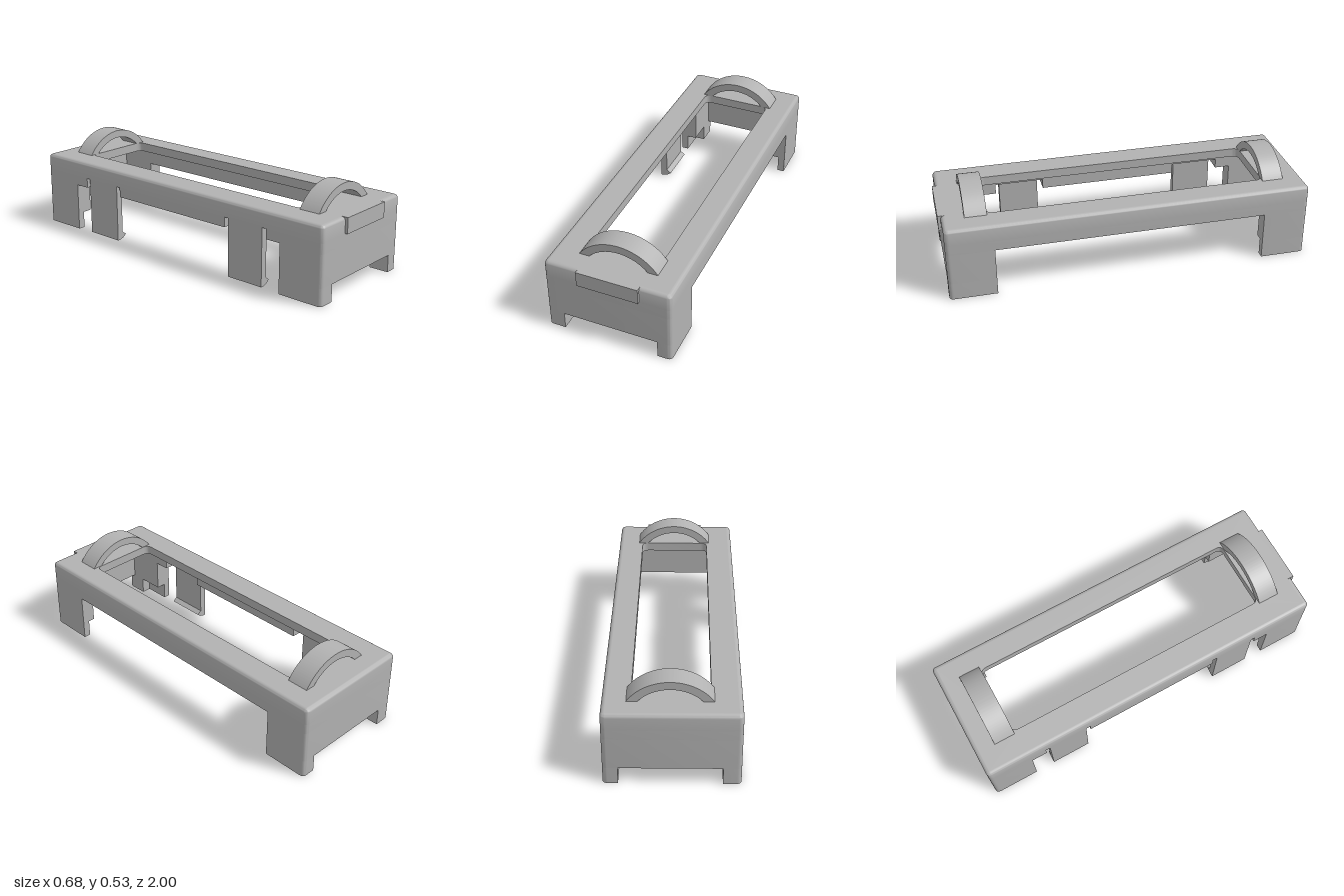
import * as THREE from 'three';
import { toCreasedNormals } from 'three/addons/utils/BufferGeometryUtils.js';

const X0 = -0.342, X1 = 0.341, Z0 = -1, Z1 = 0.985;      // outer footprint
const IX0 = -0.25, IX1 = 0.264, IZ0 = -0.966, IZ1 = 0.952; // inner cavity
const R = 0.025, TOP = 0.415, MID = 0.365, SLOT = 0.325, SILL = 0.27, FOOT = 0.095;

// Closed path from [x, z, cornerRadius] points
function trace(points, path = new THREE.Shape()) {
  const n = points.length;
  points.forEach(([x, z, r = 0], i) => {
    const step = (q) => {
      const d = new THREE.Vector2(q[0] - x, q[1] - z).setLength(r);
      return [x + d.x, -(z + d.y)];
    };
    const a = step(points[(i + n - 1) % n]), b = step(points[(i + 1) % n]);
    if (i === 0) path.moveTo(...a); else path.lineTo(...a);
    if (r) path.quadraticCurveTo(x, -z, ...b);
  });
  path.closePath();
  return path;
}

const rect = (x0, x1, z0, z1, r = 0) => [[x0, z0, r], [x0, z1, r], [x1, z1, r], [x1, z0, r]];
const outer = (inset) => rect(X0 + inset, X1 - inset, Z0 + inset, Z1 - inset, R - inset);

// Upright prism over a floor outline
function prism(points, y0, y1, hole) {
  const shape = trace(points);
  if (hole) shape.holes.push(trace(hole, new THREE.Path()));
  const g = new THREE.ExtrudeGeometry(shape, { depth: y1 - y0, bevelEnabled: false, curveSegments: 6 });
  g.rotateX(-Math.PI / 2).translate(0, y0, 0);
  return toCreasedNormals(g, 0.6);
}

// Profile in x, y drawn out along z
function alongZ(shape, z0, z1) {
  const g = new THREE.ExtrudeGeometry(shape, { depth: z1 - z0, bevelEnabled: false, curveSegments: 40 });
  return toCreasedNormals(g.translate(0, 0, z0), 0.4);
}

// Rounded shoulder lofted between inset outlines
function shoulderGeometry() {
  const rings = [[0, SLOT]];
  for (let i = 0; i <= 6; i++) {
    const a = (i / 6) * Math.PI / 2;
    rings.push([0.022 * (1 - Math.cos(a)), TOP - 0.022 + 0.022 * Math.sin(a)]);
  }
  const pos = [], idx = [];
  let n = 0;
  rings.forEach(([inset, y]) => {
    const pts = trace(outer(inset)).getPoints(6);
    n = pts.length;
    pts.forEach((p) => pos.push(p.x, y, -p.y));
  });
  for (let j = 0; j < rings.length - 1; j++) {
    for (let i = 0; i < n - 1; i++) {
      const a = j * n + i, b = a + 1, c = a + n, d = c + 1;
      idx.push(a, b, c, b, d, c);
    }
  }
  const g = new THREE.BufferGeometry();
  g.setAttribute('position', new THREE.Float32BufferAttribute(pos, 3));
  g.setIndex(idx);
  return toCreasedNormals(g, 0.6);
}

export function createModel() {
  const model = new THREE.Group();
  model.name = 'clipOnFrame';
  const grey = new THREE.MeshStandardMaterial({ color: 0xb2b2b2, side: THREE.DoubleSide });
  grey.name = 'grey plastic';
  const add = (name, geometry) => {
    const m = new THREE.Mesh(geometry, grey);
    m.name = name;
    model.add(m);
  };

  // Top plate with the long opening, and the rounded edge around it
  add('topPlate', prism(outer(0.022), MID, TOP, rect(-0.19, 0.2, -0.775, 0.745, 0.035)));
  add('roundedShoulder', shoulderGeometry());
  add('upperWall', prism(outer(0.001), SLOT, MID + 0.001, rect(IX0, IX1, IZ0, IZ1)));

  // Wall band, open on the clip side at the two clip recesses
  const cf = [0.375, 0.645], cb = [-0.665, -0.395];
  add('wallBand', prism([
    [X0, cf[1]], [X0, Z1, R], [X1, Z1, R], [X1, Z0, R], [X0, Z0, R], [X0, cb[0]],
    [IX0, cb[0]], [IX0, IZ0], [IX1, IZ0], [IX1, IZ1], [IX0, IZ1], [IX0, cf[1]],
  ], SILL, SLOT));
  add('clipSideWall', prism(rect(X0, IX0, cb[1], cf[0]), SILL, SLOT));

  // End walls with corner legs, and the feet below them
  const ends = [
    { name: 'front', out: Z1, inn: IZ1, leg: 0.73, step: 0.875 },
    { name: 'back', out: Z0, inn: IZ0, leg: -0.75, step: -0.89 },
  ];
  for (const { name, out, inn, leg, step } of ends) {
    add(name + 'EndWall', prism([
      [X0, leg], [X0, out, R], [X1, out, R], [X1, leg],
      [IX1, leg], [IX1, inn], [IX0, inn], [IX0, leg],
    ], FOOT, SILL));
    for (const [side, xo, xi, xt] of [['Left', X1, IX1, 0.302], ['Right', X0, IX0, -0.303]]) {
      add(name + side + 'Foot', prism([
        [xo, leg], [xo, out, R], [xi, out], [xi, step], [xt, step], [xt, leg],
      ], 0, FOOT));
    }
  }

  // Spring clips with inward hooks
  const clip = new THREE.Shape([
    [X0, SLOT + 0.01], [X0, 0.005], [-0.325, 0.005], [-0.303, 0.012], [-0.28, 0.03], [-0.305, 0.048], [-0.305, SLOT + 0.01],
  ].map((p) => new THREE.Vector2(...p)));
  add('frontClip', alongZ(clip, 0.4, 0.62));
  add('backClip', alongZ(clip, -0.64, -0.42));

  // Arched bands standing on the plate
  const cx = 0.008, cy = 0.2685, ro = 0.2585, ri = 0.2155;
  const ao = Math.asin((TOP - 0.003 - cy) / ro), ai = Math.asin((TOP - 0.003 - cy) / ri);
  const arch = new THREE.Shape();
  arch.absarc(cx, cy, ro, ao, Math.PI - ao, false);
  arch.absarc(cx, cy, ri, Math.PI - ai, ai, true);
  add('frontArch', alongZ(arch, 0.747, 0.865));
  add('backArch', alongZ(arch, -0.89, -0.772));

  // Raised tab on the front end
  const tab = new THREE.BoxGeometry(0.331, 0.085, 0.045);
  add('frontTab', tab.translate(0.0085, 0.3725, 0.9775));
  return model;
}
